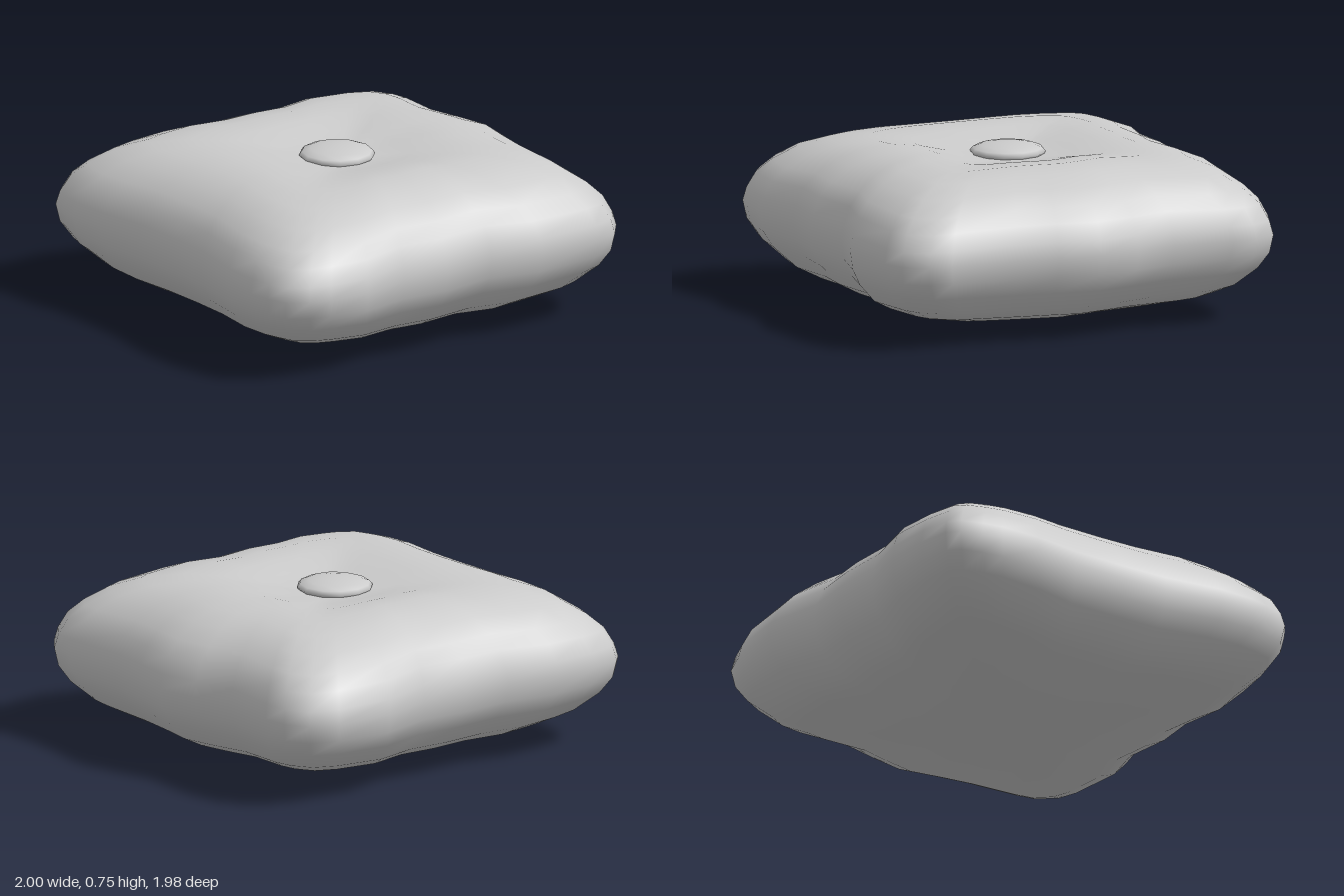
import * as THREE from 'three';

const material = new THREE.MeshStandardMaterial({ color: 0xcccccc });

// Plan outline of the cushion (x, z), from the back left corner round by +x
const outline = [
  [-0.95, -0.9], [-0.9, -0.95], [-0.75, -0.98], [-0.53, -0.99], [-0.28, -0.93], [-0.03, -0.94],
  [0.2, -0.92], [0.46, -0.985], [0.74, -0.96], [0.87, -0.91], [0.93, -0.8], [0.94, -0.68],
  [0.91, -0.4], [0.96, -0.2], [1, 0], [0.965, 0.2], [0.94, 0.4], [0.94, 0.72], [0.93, 0.83],
  [0.85, 0.93], [0.74, 0.965], [0.41, 0.985], [0.17, 0.92], [-0.1, 0.955], [-0.33, 0.935],
  [-0.57, 0.99], [-0.76, 0.965], [-0.86, 0.94], [-0.95, 0.88], [-0.98, 0.78], [-1, 0.68],
  [-1, 0.5], [-0.955, 0.23], [-0.95, 0], [-0.955, -0.27], [-0.99, -0.5], [-0.995, -0.7], [-0.98, -0.8],
];

// Rings from underside to top: [scale of outline, height]
const rings = [
  [0.28, 0.008], [0.55, 0.038], [0.75, 0.09], [0.85, 0.14], [0.94, 0.23], [0.985, 0.31], [1, 0.4],
  [0.985, 0.47], [0.95, 0.55], [0.89, 0.615], [0.8, 0.68], [0.68, 0.725], [0.54, 0.745],
  [0.4, 0.735], [0.27, 0.71], [0.15, 0.69],
];

function cushionGeometry() {
  const n = outline.length;
  const positions = [];
  const index = [];
  for (const [s, y] of rings) {
    for (const [x, z] of outline) {
      const r = Math.hypot(x, z);
      // Rings become rounder towards the middle, corners are a little thinner
      const round = Math.max(0, 1 - s * 1.6);
      const k = s * THREE.MathUtils.lerp(1, 1.05 / r, round);
      const corner = THREE.MathUtils.clamp((r - 1) / 0.3, 0, 1);
      const h = 0.39 + (y - 0.39) * (1 - 0.1 * corner * s * s);
      positions.push(x * k, h, z * k);
    }
  }
  for (let j = 0; j < rings.length - 1; j++) {
    for (let i = 0; i < n; i++) {
      const a = j * n + i, b = j * n + (i + 1) % n;
      index.push(a, a + n, b, b, a + n, b + n);
    }
  }
  // Close the underside and the top at single centre points
  const bottom = rings.length * n, top = bottom + 1, last = bottom - n;
  positions.push(0, 0, 0, -0.03, 0.685, 0);
  for (let i = 0; i < n; i++) {
    const next = (i + 1) % n;
    index.push(bottom, i, next, top, last + next, last + i);
  }
  const geometry = new THREE.BufferGeometry();
  geometry.setAttribute('position', new THREE.Float32BufferAttribute(positions, 3));
  geometry.setIndex(index);
  geometry.computeVertexNormals();
  return geometry;
}

export function createModel() {
  const model = new THREE.Group();
  model.name = 'tuftedCushion';

  // Stuffed body
  const cushion = new THREE.Mesh(cushionGeometry(), material);
  cushion.name = 'cushion';
  model.add(cushion);

  // Flattened button in the central dip
  const button = new THREE.Mesh(new THREE.SphereGeometry(0.174, 12, 8), material);
  button.name = 'button';
  button.scale.y = 0.25;
  button.position.set(-0.03, 0.7, 0);
  model.add(button);

  return model;
}
